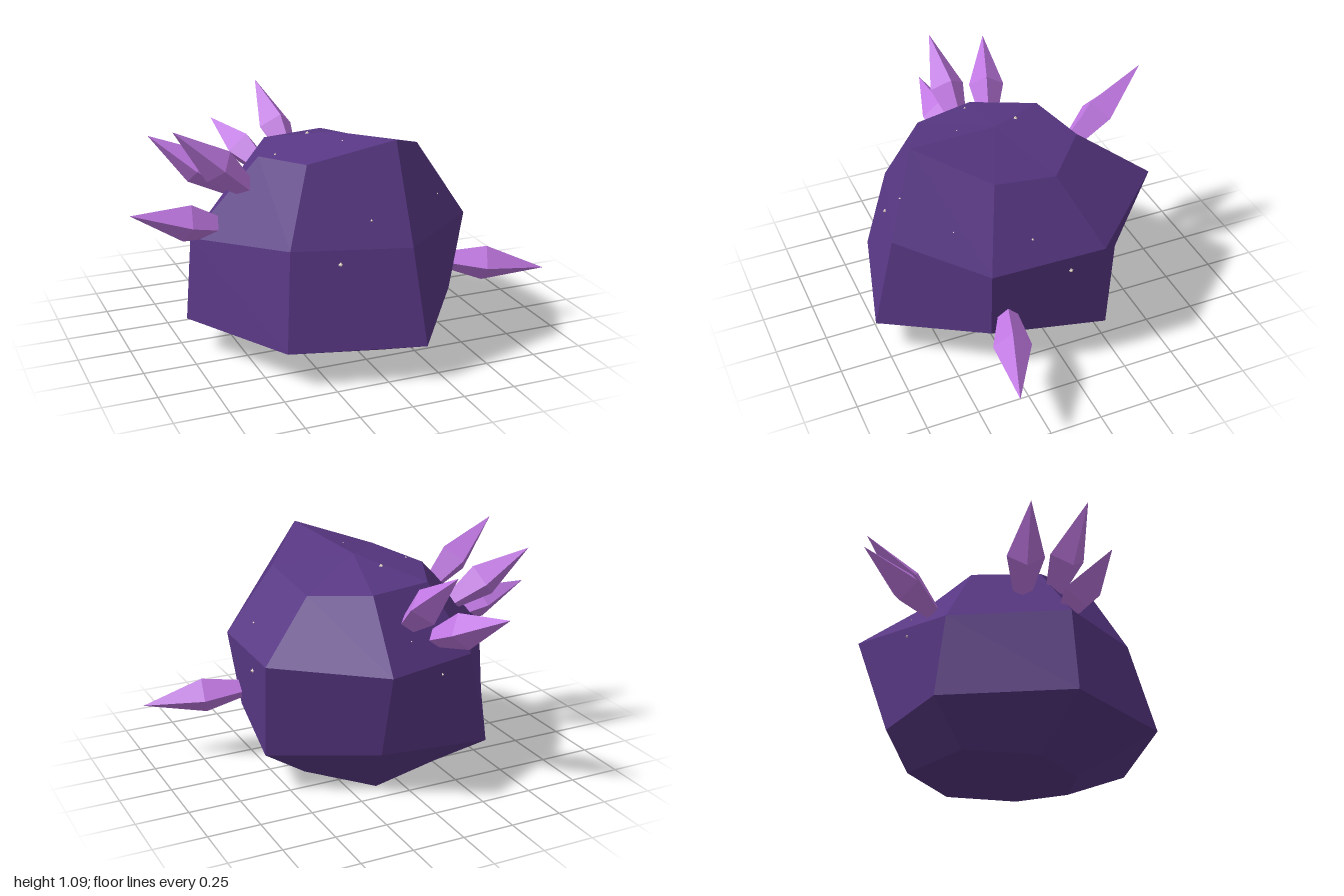
import * as THREE from 'three';

function material(name, color, flatShading) {
  const m = new THREE.MeshStandardMaterial({ color, flatShading });
  m.name = name;
  return m;
}
const rockViolet = material('rock violet', 0x583784, false);
const crystalLilac = material('crystal lilac', 0xbf77e1, true);
const paleFleck = material('pale fleck', 0xdccfc0, true);

// Boulder cross-sections, bottom to top, each running round from the front towards +x
const rings = [
  [[0.1, 0, 0.43], [0.29, 0, 0.24], [0.36, 0, -0.1], [0.12, 0, -0.39], [-0.26, 0, -0.27], [-0.34, 0, 0.08], [-0.16, 0, 0.36]],
  [[0.17, 0.165, 0.79], [0.51, 0.22, 0.335], [0.605, 0.185, -0.21], [0.145, 0.21, -0.495], [-0.43, 0.16, -0.47], [-0.74, 0.16, 0.08], [-0.44, 0.165, 0.635]],
  [[0.145, 0.6, 0.675], [0.567, 0.606, 0.35], [0.588, 0.614, -0.2], [0.166, 0.644, -0.645], [-0.375, 0.59, -0.4], [-0.706, 0.556, 0.07], [-0.385, 0.604, 0.53]],
  [[0.11, 1.068, 0.55], [0.36, 0.95, 0.25], [0.32, 0.88, -0.07], [0.085, 0.91, -0.285], [-0.235, 0.913, -0.22], [-0.37, 0.915, 0.08], [-0.25, 0.948, 0.39]],
].map(ring => ring.map(p => new THREE.Vector3(...p)));

function rockGeometry() {
  const pos = [], nor = [];
  // Facets share one normal, so a slightly bent quad still reads as one plane
  const facet = (corners, u, v) => {
    const normal = new THREE.Vector3().crossVectors(u, v).normalize();
    for (const c of corners) {
      pos.push(c.x, c.y, c.z);
      nor.push(normal.x, normal.y, normal.z);
    }
  };
  const sub = (a, b) => a.clone().sub(b);
  const tri = (a, b, c) => facet([a, b, c], sub(b, a), sub(c, a));
  const quad = (a, b, c, d) => facet([a, b, d, b, c, d], sub(c, a), sub(d, b));

  const bottom = new THREE.Vector3(0, 0, 0.05), top = new THREE.Vector3(0, 1, 0.1);
  const first = rings[0], last = rings[rings.length - 1], n = first.length;
  for (let i = 0; i < n; i++) {
    const j = (i + 1) % n;
    for (let r = 0; r < rings.length - 1; r++) {
      quad(rings[r][i], rings[r][j], rings[r + 1][j], rings[r + 1][i]);
    }
    tri(last[i], last[j], top);
    tri(first[j], first[i], bottom);
  }
  const g = new THREE.BufferGeometry();
  g.setAttribute('position', new THREE.Float32BufferAttribute(pos, 3));
  g.setAttribute('normal', new THREE.Float32BufferAttribute(nor, 3));
  return g;
}

// Four-sided pointed crystal, unit length along +y, widest below the middle
const crystalProfile = [[0, 0], [0.045, 0], [0.088, 0.39], [0, 1]].map(p => new THREE.Vector2(...p));
const crystalGeometry = new THREE.LatheGeometry(crystalProfile, 4);

// Crystal with one ridge facing up and one to each side
function crystal(base, tip) {
  const from = new THREE.Vector3(...base);
  const dir = new THREE.Vector3(...tip).sub(from);
  const length = dir.length();
  dir.normalize();
  const side = new THREE.Vector3().crossVectors(dir, new THREE.Vector3(0, 1, 0)).normalize();
  const up = new THREE.Vector3().crossVectors(side, dir);
  const mesh = new THREE.Mesh(crystalGeometry, crystalLilac);
  mesh.position.copy(from);
  mesh.scale.set(1, length, 1);
  mesh.quaternion.setFromRotationMatrix(new THREE.Matrix4().makeBasis(side, dir, up));
  return mesh;
}

export function createModel() {
  const model = new THREE.Group();
  model.name = 'crystalRock';

  const rock = new THREE.Mesh(rockGeometry(), rockViolet);
  rock.name = 'boulder';
  model.add(rock);

  // Crystals as [name, base, tip]
  const crystals = [
    ['upperRightCrystal', [-0.44, 0.78, 0.115], [-0.786, 1.087, 0.13]],
    ['rearRightCrystal', [-0.47, 0.74, -0.06], [-0.824, 0.995, -0.176]],
    ['lowerRightCrystal', [-0.56, 0.6, 0.11], [-0.997, 0.72, 0.125]],
    ['upperBackCrystal', [-0.06, 0.77, -0.35], [-0.11, 1.083, -0.71]],
    ['lowerBackCrystal', [-0.18, 0.7, -0.4], [-0.333, 0.882, -0.788]],
    ['leftCrystal', [0.53, 0.335, 0.26], [0.997, 0.275, 0.4]],
  ];
  for (const [name, base, tip] of crystals) {
    const c = crystal(base, tip);
    c.name = name;
    model.add(c);
  }

  // Tiny mineral flecks dropped onto the boulder: [start, direction, radius]
  const flecks = [
    [[-0.175, 0.54, 2], [0, 0, -1], 0.012],
    [[-0.015, 0.715, 2], [0, 0, -1], 0.007],
    [[0.37, 0.755, 2], [0, 0, -1], 0.005],
    [[2, 0.54, -0.03], [-1, 0, 0], 0.012],
    [[2, 0.715, 0.13], [-1, 0, 0], 0.007],
    [[-0.08, 2, -0.04], [0, -1, 0], 0.012],
    [[-0.305, 2, 0.13], [0, -1, 0], 0.007],
    [[-0.03, 2, 0.275], [0, -1, 0], 0.005],
    [[-0.16, 0.56, -2], [0, 0, 1], 0.008],
    [[-0.03, 0.72, -2], [0, 0, 1], 0.005],
  ];
  const fleckGeometry = new THREE.OctahedronGeometry(1);
  for (const [start, direction, radius] of flecks) {
    const ray = new THREE.Raycaster(new THREE.Vector3(...start), new THREE.Vector3(...direction));
    const fleck = new THREE.Mesh(fleckGeometry, paleFleck);
    fleck.name = 'fleck';
    fleck.position.copy(ray.intersectObject(rock)[0].point);
    fleck.scale.setScalar(radius);
    model.add(fleck);
  }
  return model;
}
